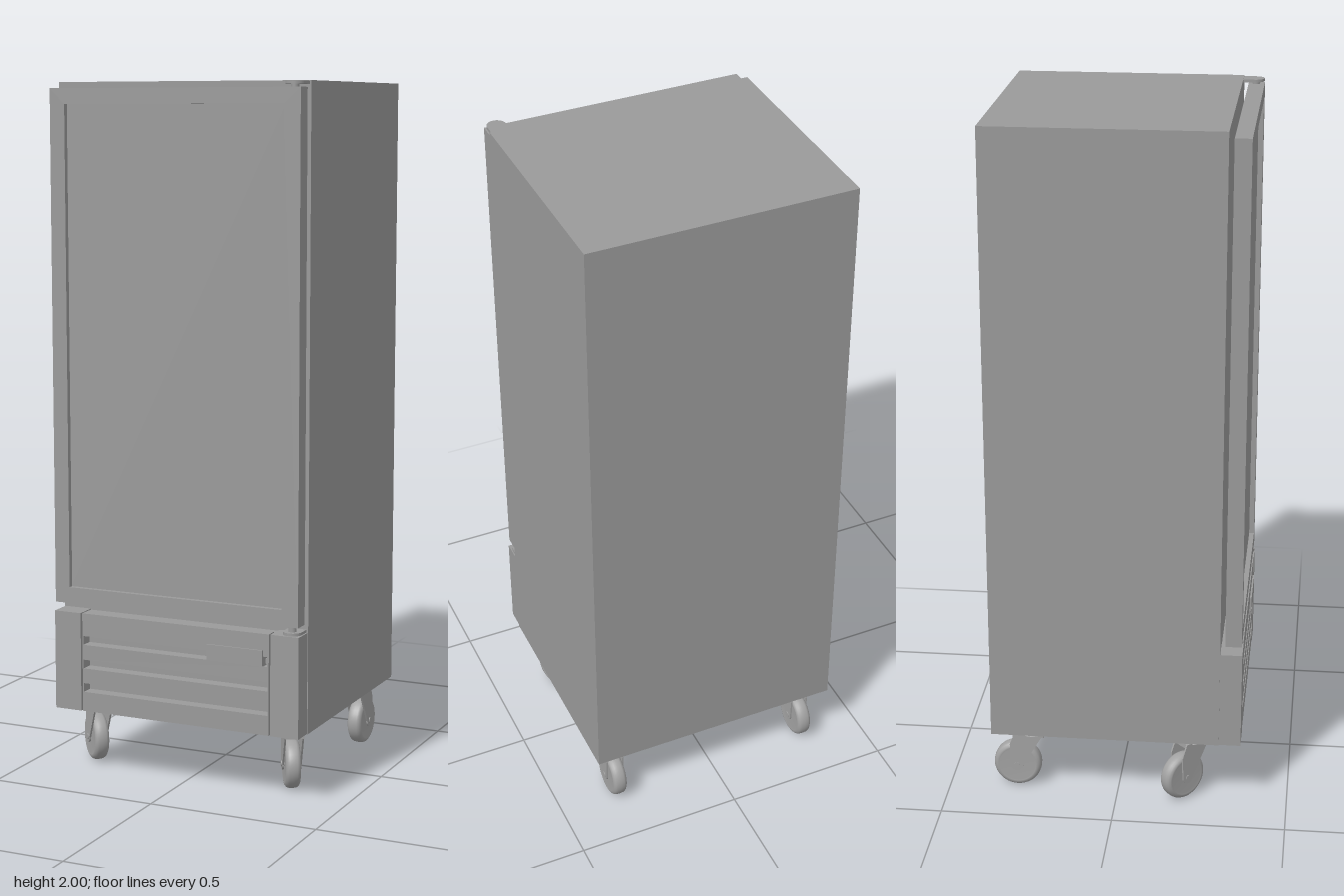
import * as THREE from 'three';

const bodyGrey = new THREE.MeshStandardMaterial({ color: 0x9a9a9a });
const casterGrey = new THREE.MeshStandardMaterial({ color: 0xa2a2a2 });

function add(parent, name, geometry, x = 0, y = 0, z = 0, material = bodyGrey) {
  const mesh = new THREE.Mesh(geometry, material);
  mesh.name = name;
  mesh.position.set(x, y, z);
  parent.add(mesh);
  return mesh;
}

// Box given by its lower and upper limits on each axis
function block(parent, name, x0, x1, y0, y1, z0, z1, material = bodyGrey) {
  return add(parent, name, new THREE.BoxGeometry(x1 - x0, y1 - y0, z1 - z0),
    (x0 + x1) / 2, (y0 + y1) / 2, (z0 + z1) / 2, material);
}

function rect(path, x0, x1, y0, y1) {
  path.moveTo(x0, y0);
  path.lineTo(x1, y0);
  path.lineTo(x1, y1);
  path.lineTo(x0, y1);
  path.closePath();
  return path;
}

// Flat panel with rectangular openings, from z0 to z1
function piercedPanel(parent, name, outer, holes, z0, z1) {
  const shape = rect(new THREE.Shape(), ...outer);
  holes.forEach(h => shape.holes.push(rect(new THREE.Path(), ...h)));
  return add(parent, name,
    new THREE.ExtrudeGeometry(shape, { depth: z1 - z0, bevelEnabled: false }), 0, 0, z0);
}

// Swivel caster, trailing towards -z before it is turned
function makeCaster(name, x, z, turn) {
  const caster = new THREE.Group();
  caster.name = name;
  caster.position.set(x, 0, z);
  caster.rotation.y = turn;
  const trail = -0.045, axleY = 0.071;

  add(caster, 'mountingPlate', new THREE.CylinderGeometry(0.06, 0.06, 0.008, 32), 0, 0.193, 0, casterGrey);
  add(caster, 'swivelBearing', new THREE.CylinderGeometry(0.036, 0.042, 0.014, 32), 0, 0.183, 0, casterGrey);
  block(caster, 'forkCrown', -0.028, 0.028, 0.166, 0.18, -0.05, 0.036, casterGrey);

  // Broad fork cheeks narrowing to a rounded axle end
  const cheek = new THREE.Shape();
  cheek.moveTo(-0.036, 0.18);
  cheek.lineTo(-trail - 0.018, axleY);
  cheek.absarc(-trail, axleY, 0.018, Math.PI, Math.PI * 2, false);
  cheek.lineTo(0.066, 0.14);
  cheek.lineTo(0.05, 0.18);
  cheek.closePath();
  for (const side of [-1, 1]) {
    const geo = new THREE.ExtrudeGeometry(cheek, { depth: 0.005, bevelEnabled: false });
    geo.rotateY(Math.PI / 2);
    add(caster, 'forkCheek', geo, side * 0.0255 - 0.0025, 0, 0, casterGrey);
  }

  // Wheel with a flat-crowned tread and a plain web
  const half = [[0, 0.02], [0.053, 0.02], [0.055, 0.022], [0.061, 0.021],
    [0.067, 0.017], [0.07, 0.011], [0.071, 0]];
  const profile = half.map(([r, w]) => new THREE.Vector2(r, -w))
    .concat(half.slice(0, -1).reverse().map(([r, w]) => new THREE.Vector2(r, w)));
  const wheel = add(caster, 'wheel', new THREE.LatheGeometry(profile, 40), 0, axleY, trail, casterGrey);
  wheel.rotation.z = Math.PI / 2;
  const axle = add(caster, 'axle', new THREE.CylinderGeometry(0.009, 0.009, 0.06, 20), 0, axleY, trail, casterGrey);
  axle.rotation.z = Math.PI / 2;
  return caster;
}

// Hinge bracket with a rounded front end, and its pin
function makeHinge(name, y, pinY) {
  const hinge = new THREE.Group();
  hinge.name = name;
  const s = new THREE.Shape();
  s.moveTo(0.332, -0.298);
  s.lineTo(0.386, -0.298);
  s.lineTo(0.386, -0.334);
  s.absarc(0.359, -0.334, 0.027, 0, -Math.PI, true);
  s.closePath();
  const geo = new THREE.ExtrudeGeometry(s, { depth: 0.008, bevelEnabled: false, curveSegments: 16 });
  geo.rotateX(-Math.PI / 2);
  add(hinge, 'hingePlate', geo, 0, y, 0);
  add(hinge, 'hingePin', new THREE.CylinderGeometry(0.011, 0.011, 0.024, 20), 0.359, pinY, 0.336);
  return hinge;
}

export function createModel() {
  const model = new THREE.Group();
  model.name = 'uprightCooler';

  block(model, 'cabinet', -0.38, 0.391, 0.196, 2.0, -0.368, 0.3);

  // Door: frame around a sunken panel
  const door = new THREE.Group();
  door.name = 'door';
  model.add(door);
  piercedPanel(door, 'doorFrame', [-0.376, 0.386, 0.513, 1.982], [[-0.33, 0.337, 0.56, 1.938]], 0.314, 0.361);
  block(door, 'doorPanel', -0.332, 0.339, 0.558, 1.94, 0.316, 0.346);
  model.add(makeHinge('upperHinge', 1.99, 1.983));
  model.add(makeHinge('lowerHinge', 0.488, 0.499));

  // Lower front: side columns, slotted centre and backing
  const base = new THREE.Group();
  base.name = 'lowerFront';
  model.add(base);
  block(base, 'rightColumn', -0.378, -0.294, 0.197, 0.487, 0.298, 0.363);
  block(base, 'leftColumn', 0.304, 0.389, 0.197, 0.487, 0.298, 0.363);
  block(base, 'grilleBacking', -0.294, 0.304, 0.198, 0.484, 0.299, 0.325);
  const openings = [
    [-0.286, 0.11, 0.394, 0.42],
    [-0.286, 0.296, 0.324, 0.35],
    [-0.286, 0.296, 0.254, 0.28],
    [0.282, 0.294, 0.394, 0.422],
  ];
  piercedPanel(base, 'grille', [-0.289, 0.299, 0.197, 0.487], openings, 0.325, 0.362);
  block(base, 'switch', 0.285, 0.291, 0.4, 0.415, 0.325, 0.352);
  block(base, 'blankPlate', 0.11, 0.281, 0.395, 0.44, 0.36, 0.367);

  // Casters, each swivelled its own way
  model.add(makeCaster('frontRightCaster', -0.306, 0.224, 0.77));
  model.add(makeCaster('frontLeftCaster', 0.32, 0.235, 0.52));
  model.add(makeCaster('backRightCaster', -0.308, -0.255, 0));
  model.add(makeCaster('backLeftCaster', 0.32, -0.255, 0));
  return model;
}
